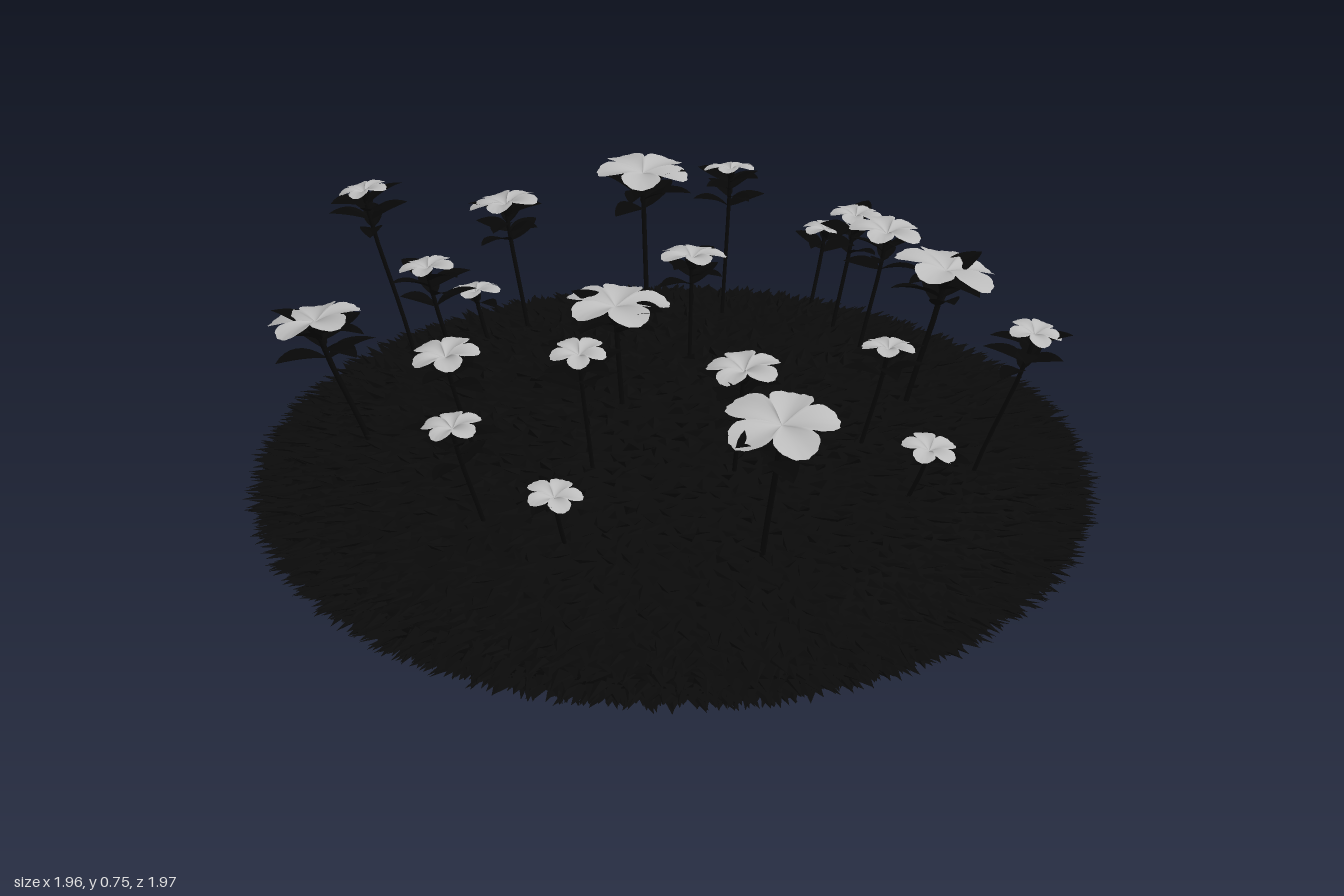
import * as THREE from 'three';
import { mergeGeometries } from 'three/addons/utils/BufferGeometryUtils.js';

const MID = 0.222, FLAT = 0.222;

// x, z, height and radius of each flower
const FLOWERS = [
  [0, -0.83, 0.53, 0.066], [-0.36, -0.53, 0.72, 0.125], [-0.16, -0.61, 0.735, 0.065],
  [0.15, -0.67, 0.65, 0.068], [0.28, -0.56, 0.67, 0.088], [-0.61, -0.29, 0.675, 0.088],
  [-0.61, -0.14, 0.5, 0.066], [0.53, -0.31, 0.715, 0.125], [-0.06, -0.21, 0.67, 0.085],
  [-0.87, -0.07, 0.735, 0.065], [0.82, -0.09, 0.705, 0.062], [0.52, -0.01, 0.64, 0.064],
  [0.68, 0.13, 0.495, 0.065], [-0.6, 0.08, 0.645, 0.067], [-0.08, 0.12, 0.67, 0.122],
  [0.32, 0.29, 0.67, 0.085], [-0.64, 0.47, 0.655, 0.112], [-0.33, 0.43, 0.62, 0.08],
  [0.01, 0.44, 0.7, 0.063], [0.54, 0.57, 0.715, 0.122], [-0.13, 0.72, 0.62, 0.066],
  [0.09, 0.69, 0.5, 0.062],
];

function seeded(seed) {
  return () => {
    seed = (seed * 1664525 + 1013904223) % 4294967296;
    return seed / 4294967296;
  };
}

// Flattened ball covered in three-sided blades
function makeGrass(rand) {
  const core = new THREE.SphereGeometry(0.915, 64, 40).toNonIndexed();
  core.deleteAttribute('uv');
  const pos = [];
  const count = 7000, golden = Math.PI * (3 - Math.sqrt(5));
  const n = new THREE.Vector3(), u = new THREE.Vector3(), v = new THREE.Vector3();
  for (let i = 0; i < count; i++) {
    const y = 1 - (2 * (i + 0.5)) / count, r = Math.sqrt(1 - y * y), a = i * golden;
    n.set(r * Math.cos(a), y, r * Math.sin(a));
    u.set(-Math.sin(a), 0, Math.cos(a));
    v.crossVectors(n, u);
    const turn = rand() * 6.28, w = 0.017 + rand() * 0.01;
    const tip = n.clone().multiplyScalar(0.94 + rand() * 0.045)
      .addScaledVector(u, (rand() - 0.5) * 0.06).addScaledVector(v, (rand() - 0.5) * 0.06);
    const foot = [0, 1, 2].map((k) => {
      const t = turn + (k * Math.PI * 2) / 3;
      return n.clone().multiplyScalar(0.905)
        .addScaledVector(u, w * Math.cos(t)).addScaledVector(v, w * Math.sin(t));
    });
    for (let k = 0; k < 3; k++) {
      for (const p of [foot[k], foot[(k + 1) % 3], tip]) pos.push(p.x, p.y, p.z);
    }
  }
  const blades = new THREE.BufferGeometry();
  blades.setAttribute('position', new THREE.Float32BufferAttribute(pos, 3));
  blades.computeVertexNormals();
  const geo = mergeGeometries([core, blades]);
  geo.scale(1, FLAT, 1);
  return geo.translate(0, MID, 0);
}

// Five wavy, lightly cupped petals in one sheet of unit radius
function makeBlossom(cup, rand) {
  const rings = 6, segs = 90;
  const geo = new THREE.PlaneGeometry(1, 1, segs, rings);
  const p = geo.attributes.position;
  const size = Array.from({ length: 5 }, () => 0.9 + rand() * 0.14);
  for (let i = 0; i < p.count; i++) {
    const s = (i % (segs + 1)) % segs, t = 1 - Math.floor(i / (segs + 1)) / rings;
    const a = (s / segs) * Math.PI * 2;
    const lobe = Math.abs(Math.sin(2.5 * a));
    const petal = size[Math.floor((s / segs) * 5)];
    const ruffle = 0.018 * Math.sin(a * 30);
    const r = t * (0.56 + (petal - 0.56) * Math.pow(lobe, 0.55) + ruffle * t * lobe);
    const h = cup * (Math.sin(t * 2.3) - 0.6) + 0.07 * t * t * Math.cos(5 * a);
    p.setXYZ(i, r * Math.cos(a), h, -r * Math.sin(a));
  }
  geo.computeVertexNormals();
  return geo;
}

// Pointed oval leaf of unit length along +x, folded along its rib
function makeLeaf() {
  const geo = new THREE.PlaneGeometry(1, 2, 8, 2);
  const p = geo.attributes.position;
  for (let i = 0; i < p.count; i++) {
    const t = p.getX(i) + 0.5, s = p.getY(i);
    const w = 0.25 * Math.pow(Math.sin(Math.PI * Math.pow(t, 0.85)), 0.8) || 0;
    p.setXYZ(i, t, 0.3 * t - 0.32 * t * t + 0.25 * w * Math.abs(s), -s * w);
  }
  geo.computeVertexNormals();
  return geo;
}

export function createModel() {
  const rand = seeded(17);
  const grassMat = new THREE.MeshStandardMaterial({ name: 'dark grass', color: 0x0a0a0a });
  const leafMat = new THREE.MeshStandardMaterial({ name: 'dark stem and leaf', color: 0x070707, side: THREE.DoubleSide });
  const petalMat = new THREE.MeshStandardMaterial({ name: 'pale petal', color: 0xbcbcbc, side: THREE.DoubleSide });

  const model = new THREE.Group();
  model.name = 'flowerMound';
  const add = (parent, name, geo, mat) => {
    const mesh = new THREE.Mesh(geo, mat);
    mesh.name = name;
    parent.add(mesh);
    return mesh;
  };

  add(model, 'grassMound', makeGrass(rand), grassMat);

  const leafGeo = makeLeaf();
  FLOWERS.forEach(([x, z, y, radius], i) => {
    const plant = new THREE.Group();
    plant.name = 'flowerPlant';
    model.add(plant);
    const big = radius > 0.1;

    // Stem leaning outward from its foot
    const curve = new THREE.CatmullRomCurve3([
      new THREE.Vector3(x * 0.76, 0, z * 0.76),
      new THREE.Vector3(x * 0.86, y * 0.5, z * 0.86),
      new THREE.Vector3(x * 0.97, y * 0.86, z * 0.97),
      new THREE.Vector3(x, y - 0.01, z),
    ]);
    add(plant, 'stem', new THREE.TubeGeometry(curve, 12, big ? 0.0065 : 0.005, 6), leafMat);

    // Blossom tipped a little along the lean
    const head = new THREE.Group();
    head.name = 'flowerHead';
    head.position.set(x, y, z);
    head.rotation.set(z * 0.15 + (rand() - 0.5) * 0.2, 0, -x * 0.15 + (rand() - 0.5) * 0.2);
    plant.add(head);
    const petals = add(head, 'petals', makeBlossom(big ? 0.1 : 0.2, rand), petalMat);
    petals.scale.setScalar(radius);
    petals.rotation.y = rand() * 6.28;
    const calyx = add(head, 'calyx', new THREE.CylinderGeometry(radius * 0.2, 0.005, radius * 0.3, 8), leafMat);
    calyx.position.y = -radius * 0.28;

    // Pairs of leaves up the visible stem
    const ground = MID + 0.21 * Math.sqrt(1 - x * x - z * z);
    const turn = rand() * 3.14;
    for (let k = 0; k < 4; k++) {
      const h = y - 0.075 - k * 0.05;
      if (h < ground + 0.02) break;
      const at = curve.getPoint(h / y);
      for (const side of [0, 1]) {
        const leaf = add(plant, 'leaf', leafGeo, leafMat);
        leaf.position.copy(at);
        leaf.rotation.order = 'YXZ';
        leaf.rotation.set((rand() - 0.5) * 0.5, turn + k * 1.4 + side * Math.PI + (i % 3) * 0.2, 0.1 + rand() * 0.35);
        leaf.scale.setScalar((big ? 0.11 : 0.085) + rand() * 0.025);
      }
    }
  });
  return model;
}
